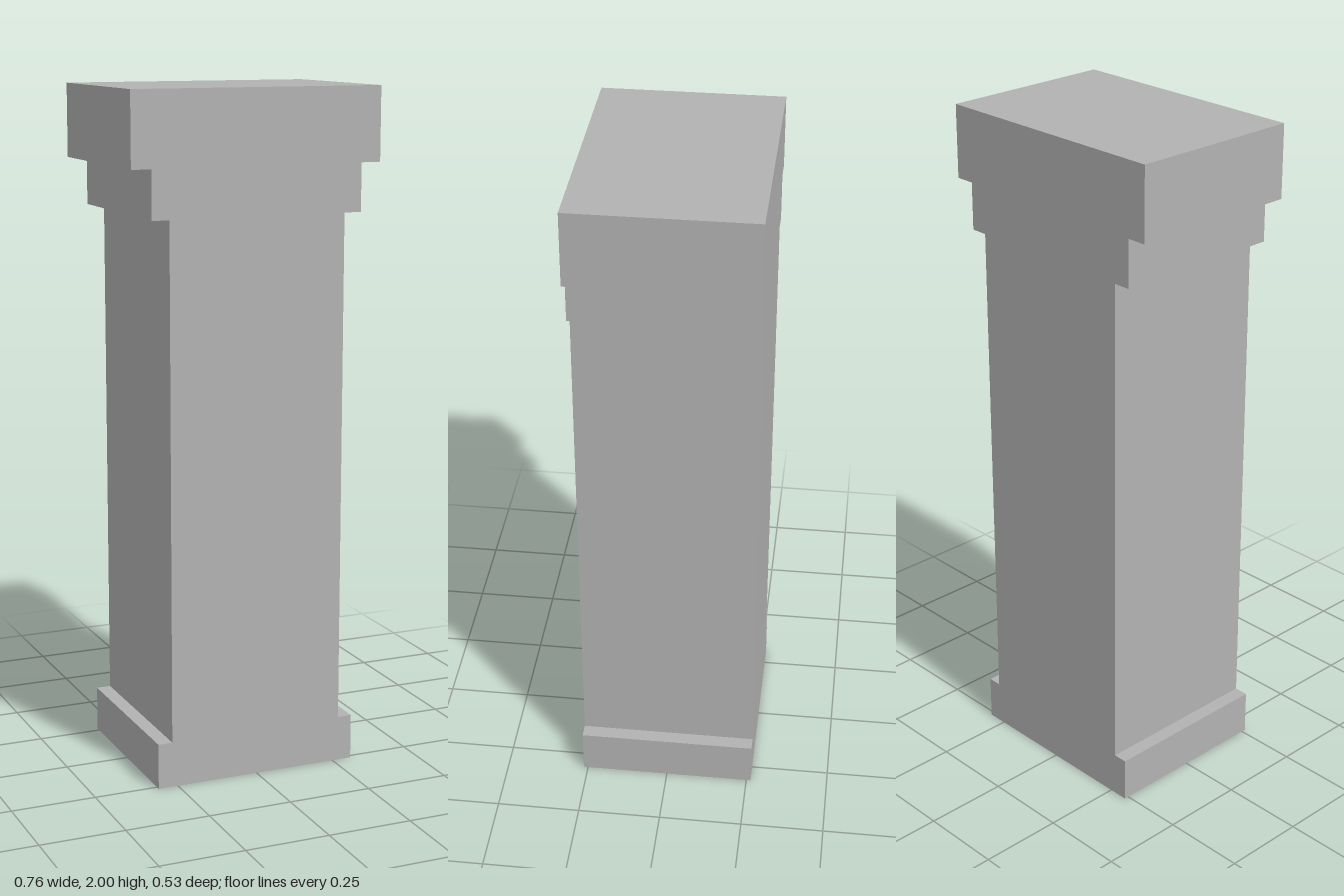
import * as THREE from 'three';

const DEPTH = 0.527;

// Right half of the pillar outline, bottom to top: plinth, shaft, neck, cap
const HALF_PROFILE = [
  [0.31, 0], [0.31, 0.135],
  [0.267, 0.135], [0.267, 1.645],
  [0.319, 1.645], [0.319, 1.785],
  [0.378, 1.785], [0.378, 2],
];

export function createModel() {
  const stone = new THREE.MeshStandardMaterial({ color: 0xb2b2b2 });
  stone.name = 'grey stone';

  // Mirror the half outline to close the silhouette
  const right = HALF_PROFILE.map(([x, y]) => new THREE.Vector2(x, y));
  const left = HALF_PROFILE.map(([x, y]) => new THREE.Vector2(-x, y)).reverse();
  const outline = new THREE.Shape([...right, ...left]);

  // One solid pillar with flush front and back
  const geometry = new THREE.ExtrudeGeometry(outline, { depth: DEPTH, bevelEnabled: false });
  geometry.translate(0, 0, -DEPTH / 2);
  const pillar = new THREE.Mesh(geometry, stone);
  pillar.name = 'pillar';

  const model = new THREE.Group();
  model.name = 'steppedPillar';
  model.add(pillar);
  return model;
}
